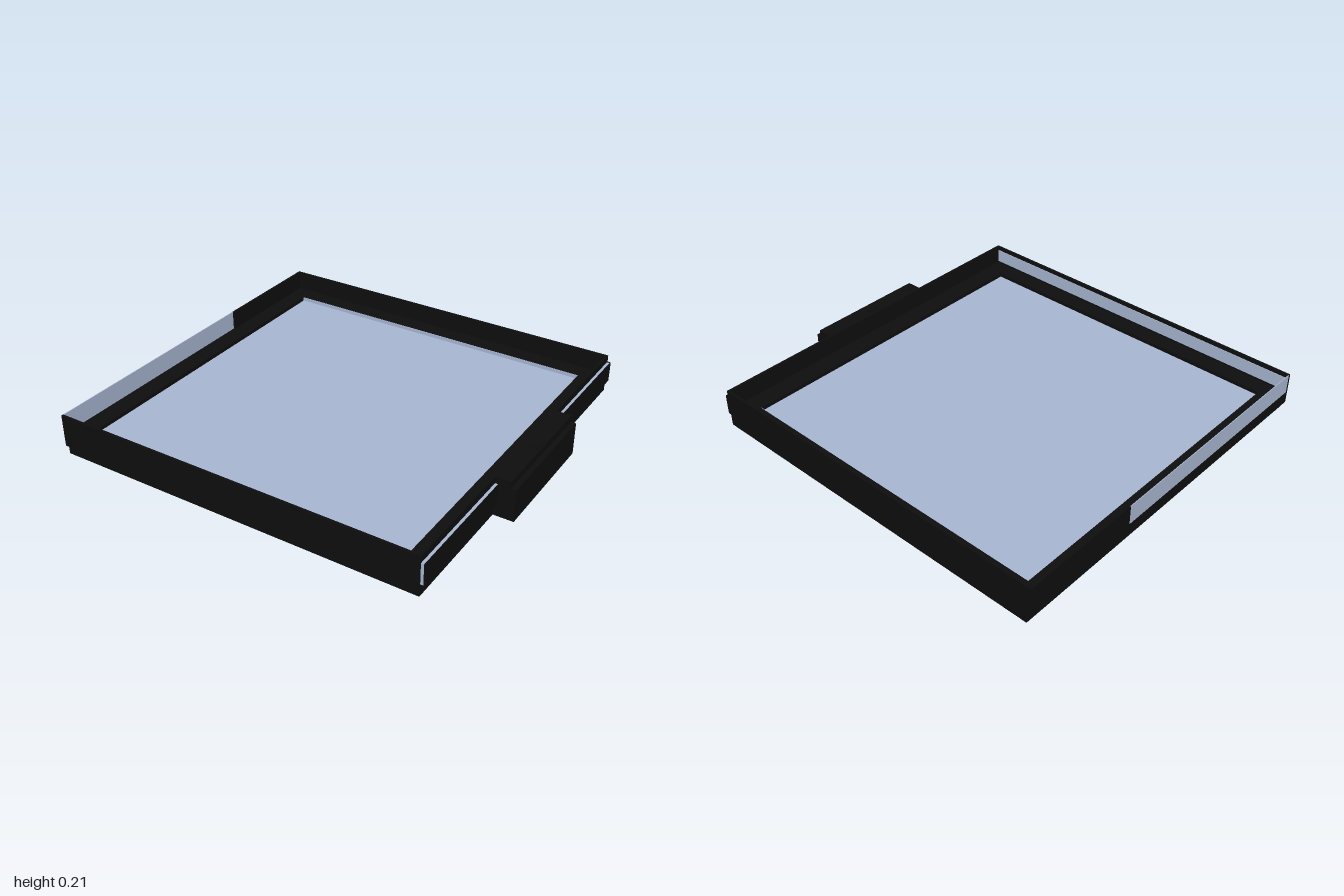
import * as THREE from 'three';

const black = new THREE.MeshStandardMaterial({ color: 0x0e0e0e });
black.name = 'black casing';
const pale = new THREE.MeshStandardMaterial({ color: 0xa8b6d2 });
pale.name = 'pale blue panel';

// Box given by its lower and upper limits on each axis
function block(name, material, [x0, x1], [y0, y1], [z0, z1]) {
  const mesh = new THREE.Mesh(new THREE.BoxGeometry(x1 - x0, y1 - y0, z1 - z0), material);
  mesh.position.set((x0 + x1) / 2, (y0 + y1) / 2, (z0 + z1) / 2);
  mesh.name = name;
  return mesh;
}

// Flat ledge around the sunken panel
function ledge() {
  const shape = new THREE.Shape([[-0.99, -0.94], [0.89, -0.94], [0.89, 0.94], [-0.99, 0.94]]
    .map(([x, y]) => new THREE.Vector2(x, y)));
  shape.holes.push(new THREE.Path([[-0.9, -0.85], [-0.9, 0.85], [0.79, 0.85], [0.79, -0.85]]
    .map(([x, y]) => new THREE.Vector2(x, y))));
  const geometry = new THREE.ExtrudeGeometry(shape, { depth: 0.065, bevelEnabled: false });
  geometry.rotateX(-Math.PI / 2).translate(0, 0.035, 0);
  const mesh = new THREE.Mesh(geometry, black);
  mesh.name = 'ledge';
  return mesh;
}

export function createModel() {
  const model = new THREE.Group();
  model.name = 'shallow tray';
  const thick = 0.012;

  // Base and sunken panel
  model.add(
    block('base', black, [-0.98, 0.9], [0, 0.035], [-0.95, 0.95]),
    ledge(),
    block('sunkenPanel', pale, [-0.9, 0.79], [0.035, 0.08], [-0.85, 0.85]),
    block('recessBackStrip', pale, [-0.9, 0.79], [0.08, 0.099], [-0.85, -0.847]),
  );

  // Thin walls
  model.add(
    block('frontWall', black, [-1, 0.9], [0.035, 0.2], [0.95 - thick, 0.95]),
    block('backWall', black, [-1, 0.9], [0.035, 0.2], [-0.95, -0.95 + thick]),
    block('leftWall', black, [0.9 - thick, 0.9], [0.035, 0.2], [-0.95, 0.95]),
    block('rightWallLower', black, [-1, -1 + thick], [0.035, 0.1], [-0.938, 0.938]),
    block('rightWallRear', black, [-1, -1 + thick], [0.1, 0.2], [-0.938, -0.32]),
  );

  // Pale window in the right wall and strip inside the front wall
  model.add(
    block('rightWindow', pale, [-1, -0.996], [0.1, 0.2], [-0.32, 0.938]),
    block('frontInnerStrip', pale, [-0.985, 0.885], [0.11, 0.18], [0.935, 0.938]),
  );

  // Pale sheet set against the left wall, with black outer skin and end
  model.add(
    block('leftSheet', pale, [0.9, 0.914], [0.06, 0.165], [-0.94, 0.946]),
    block('leftSheetSkin', black, [0.914, 0.917], [0.06, 0.165], [-0.946, 0.946]),
    block('leftSheetEnd', black, [0.9, 0.917], [0.06, 0.165], [-0.95, -0.94]),
  );

  // Latch housing with a stepped top and small button
  model.add(
    block('latch', black, [0.9, 1], [0, 0.165], [-0.315, 0.315]),
    block('latchTop', black, [0.9, 0.975], [0.165, 0.2], [-0.315, 0.315]),
    block('latchButton', black, [0.91, 0.965], [0.2, 0.206], [-0.03, 0.03]),
  );

  return model;
}
